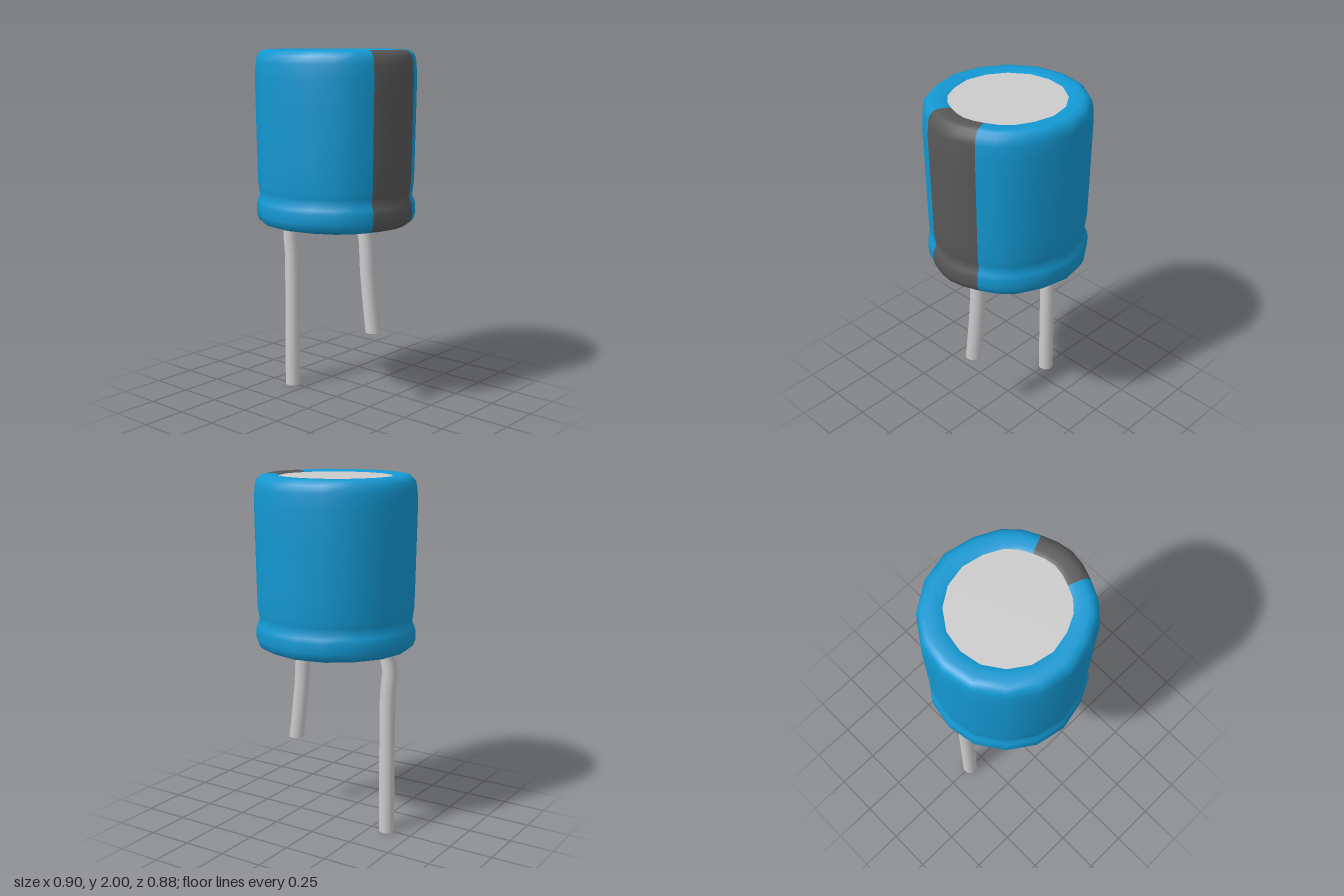
import * as THREE from 'three';

const mat = (color) => new THREE.MeshStandardMaterial({ color, roughness: 0.7 });

// Half outline of the can seen from above (x, z), finer around the stripe at +x
const half = [[0.45, 0], [0.437, 0.085], [0.405, 0.17], [0.36, 0.26], [0.285, 0.34], [0.155, 0.405],
  [-0.01, 0.44], [-0.18, 0.405], [-0.32, 0.31], [-0.42, 0.165], [-0.45, 0]];
const outline = [...half, ...half.slice(1, -1).reverse().map(([x, z]) => [x, -z])];
const N = outline.length;

// Sleeve profile from the bottom edge to the top opening: [scale of outline, height]
const profile = [[0.85, 1.04], [0.93, 1.05], [0.975, 1.065], [1, 1.1], [1, 1.15], [0.985, 1.175], [0.957, 1.2],
  [0.965, 1.23], [0.98, 1.28], [0.985, 1.4], [0.995, 1.7], [1, 1.85], [0.99, 1.93], [0.97, 1.97],
  [0.92, 1.994], [0.86, 2], [0.75, 1.998], [0.7, 1.99]];

// Sweep the outline up the profile, then split it into the stripe and the rest
function buildSleeve() {
  const pos = [];
  for (const [s, y] of profile) for (const [x, z] of outline) pos.push(x * s, y, z * s);
  const stripe = [], body = [];
  for (let i = 0; i < profile.length - 1; i++) {
    for (let j = 0; j < N; j++) {
      const k = (j + 1) % N;
      const a = i * N + j, b = i * N + k, c = a + N, d = b + N;
      const target = i > 0 && (j < 2 || j >= N - 2) ? stripe : body;
      target.push(a, c, b, b, c, d);
    }
  }
  const whole = new THREE.BufferGeometry();
  whole.setAttribute('position', new THREE.Float32BufferAttribute(pos, 3));
  whole.setIndex([...body, ...stripe]);
  whole.computeVertexNormals();
  return [body, stripe].map((index) => whole.clone().setIndex(index).toNonIndexed());
}

// Flat lid with the outline's shape
function disc(scale, y, up) {
  const shape = new THREE.Shape(outline.map(([x, z]) => new THREE.Vector2(x * scale, up ? -z * scale : z * scale)));
  return new THREE.ShapeGeometry(shape).rotateX(up ? -Math.PI / 2 : Math.PI / 2).translate(0, y, 0);
}

// Wire lead: a cylinder whose cross-sections follow bend points [x, y], with level ends
function lead(points, z) {
  const curve = new THREE.SplineCurve(points.map(([x, y]) => new THREE.Vector2(x, y)));
  const segments = 24;
  const geo = new THREE.CylinderGeometry(0.044, 0.044, 1, 16, segments);
  const p = geo.attributes.position;
  for (let i = 0; i < p.count; i++) {
    const c = curve.getPoint(Math.min(1, Math.max(0, 0.5 - p.getY(i))));
    p.setXYZ(i, p.getX(i) + c.x, c.y, p.getZ(i) + z);
  }
  // Keep the flat caps crisp: their own vertices already carry separate normals
  return geo;
}

export function createModel() {
  const group = new THREE.Group();
  const blue = mat(0x1398d2), dark = mat(0x585858), grey = mat(0xcccccc);
  const add = (name, geometry, material) => {
    const mesh = new THREE.Mesh(geometry, material);
    mesh.name = name;
    group.add(mesh);
  };

  // Can
  const [body, stripe] = buildSleeve();
  add('sleeve', body, blue);
  add('polarityStripe', stripe, dark);
  add('topDisc', disc(0.7, 1.99, true), grey);
  add('bottomDisc', disc(0.85, 1.04, false), blue);

  // Leads
  add('longLead', lead([[-0.3, 1.06], [-0.335, 1.02], [-0.355, 0.95], [-0.345, 0.82], [-0.343, 0.7],
    [-0.345, 0.35], [-0.347, 0]], -0.002), grey);
  add('shortLead', lead([[0.195, 1.06], [0.214, 1.02], [0.228, 0.95], [0.238, 0.8], [0.255, 0.64],
    [0.28, 0.45]], 0.007), grey);
  return group;
}
